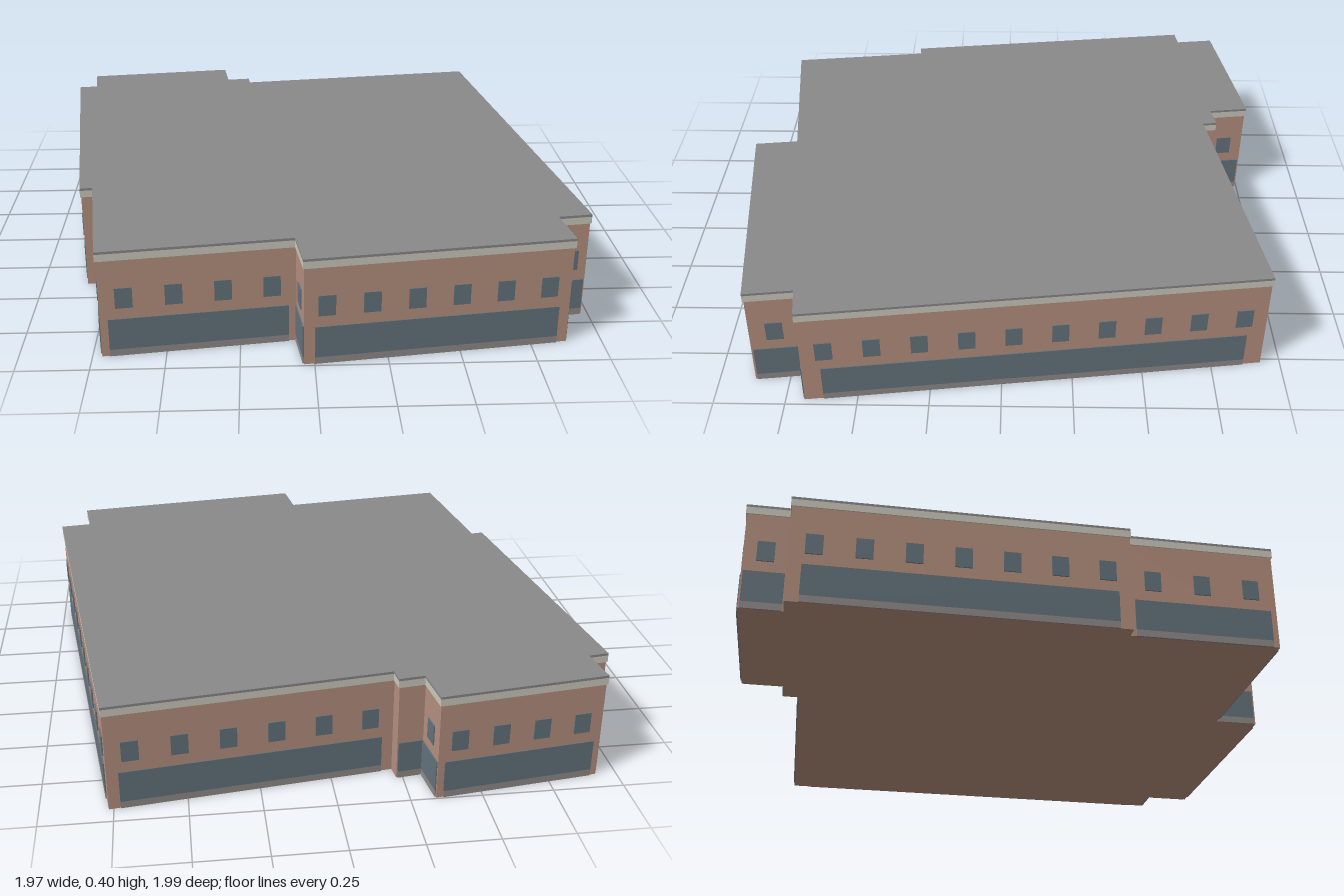
import * as THREE from 'three';

const mat = (name, color) => new THREE.MeshStandardMaterial({ name, color });

// Footprint [x, z] in the building's own square axes, clockwise seen from above
const PLAN = [
  [-0.805, -1.034], [-0.204, -1.034], [-0.204, -0.882], [-0.111, -0.882],
  [-0.111, -0.827], [0.884, -0.827], [0.884, 0.807], [0.761, 0.807],
  [0.761, 0.982], [-0.167, 0.982], [-0.167, 0.82], [-0.833, 0.82],
  [-0.833, 0.285], [-0.879, 0.285], [-0.879, -0.885], [-0.805, -0.885],
];

// Edge from corner i to the next: start, direction, outward normal, length
function edge(pts, i) {
  const n = pts.length, a = pts[(i + n) % n], b = pts[(i + 1) % n];
  const length = Math.hypot(b[0] - a[0], b[1] - a[1]);
  const d = [(b[0] - a[0]) / length, (b[1] - a[1]) / length];
  return { a, d, n: [d[1], -d[0]], length };
}

// Move every wall line outward by t (all corners are square)
function offset(pts, t) {
  return pts.map((p, i) => {
    const n1 = edge(pts, i - 1).n, n2 = edge(pts, i).n;
    return [p[0] + t * (n1[0] + n2[0]), p[1] + t * (n1[1] + n2[1])];
  });
}

// Upright prism over a plan
function prism(name, pts, y0, y1, material) {
  const shape = new THREE.Shape(pts.map(([x, z]) => new THREE.Vector2(x, -z)));
  const geo = new THREE.ExtrudeGeometry(shape, { depth: y1 - y0, bevelEnabled: false });
  geo.rotateX(-Math.PI / 2).translate(0, y0, 0);
  const mesh = new THREE.Mesh(geo, material);
  mesh.name = name;
  return mesh;
}

// Thin plate on a wall, centred at distance s along it
function plate(name, e, s, width, y0, y1, material) {
  const mesh = new THREE.Mesh(new THREE.BoxGeometry(width, y1 - y0, 0.008), material);
  mesh.name = name;
  mesh.position.set(e.a[0] + e.d[0] * s, (y0 + y1) / 2, e.a[1] + e.d[1] * s);
  mesh.rotation.y = Math.atan2(e.n[0], e.n[1]);
  return mesh;
}

export function createModel() {
  const brick = mat('brick', 0xb58f7e);
  const glass = mat('glass', 0x64727c);
  const trim = mat('pale trim', 0xcdcabc);
  const grey = mat('roof grey', 0x89898b);
  const plinth = mat('plinth grey', 0x8e8a88);

  const building = new THREE.Group();
  building.name = 'building';
  building.rotation.y = 0.129;

  // Walls, cornice band and roof slab
  const wallPlan = offset(PLAN, -0.004);
  building.add(
    prism('walls', wallPlan, 0, 0.36, brick),
    prism('cornice', PLAN, 0.36, 0.386, trim),
    prism('roof', PLAN, 0.386, 0.395, grey),
  );

  // Shopfront glazing, plinth and upper windows on every wall
  wallPlan.forEach((_, i) => {
    const e = edge(wallPlan, i);
    if (e.length < 0.08) return;
    const facade = new THREE.Group();
    facade.name = 'facade';
    facade.add(
      plate('shopfront', e, e.length / 2, e.length * 0.92, 0.025, 0.14, glass),
      plate('plinth', e, e.length / 2, e.length * 0.92, 0, 0.025, plinth),
    );
    const count = e.length > 0.1 ? Math.max(1, Math.round(e.length / 0.16)) : 0;
    for (let k = 0; k < count; k++) {
      facade.add(plate('window', e, e.length * (k + 0.5) / count, 0.059, 0.181, 0.256, glass));
    }
    building.add(facade);
  });

  const model = new THREE.Group();
  model.name = 'model';
  model.add(building);
  return model;
}
